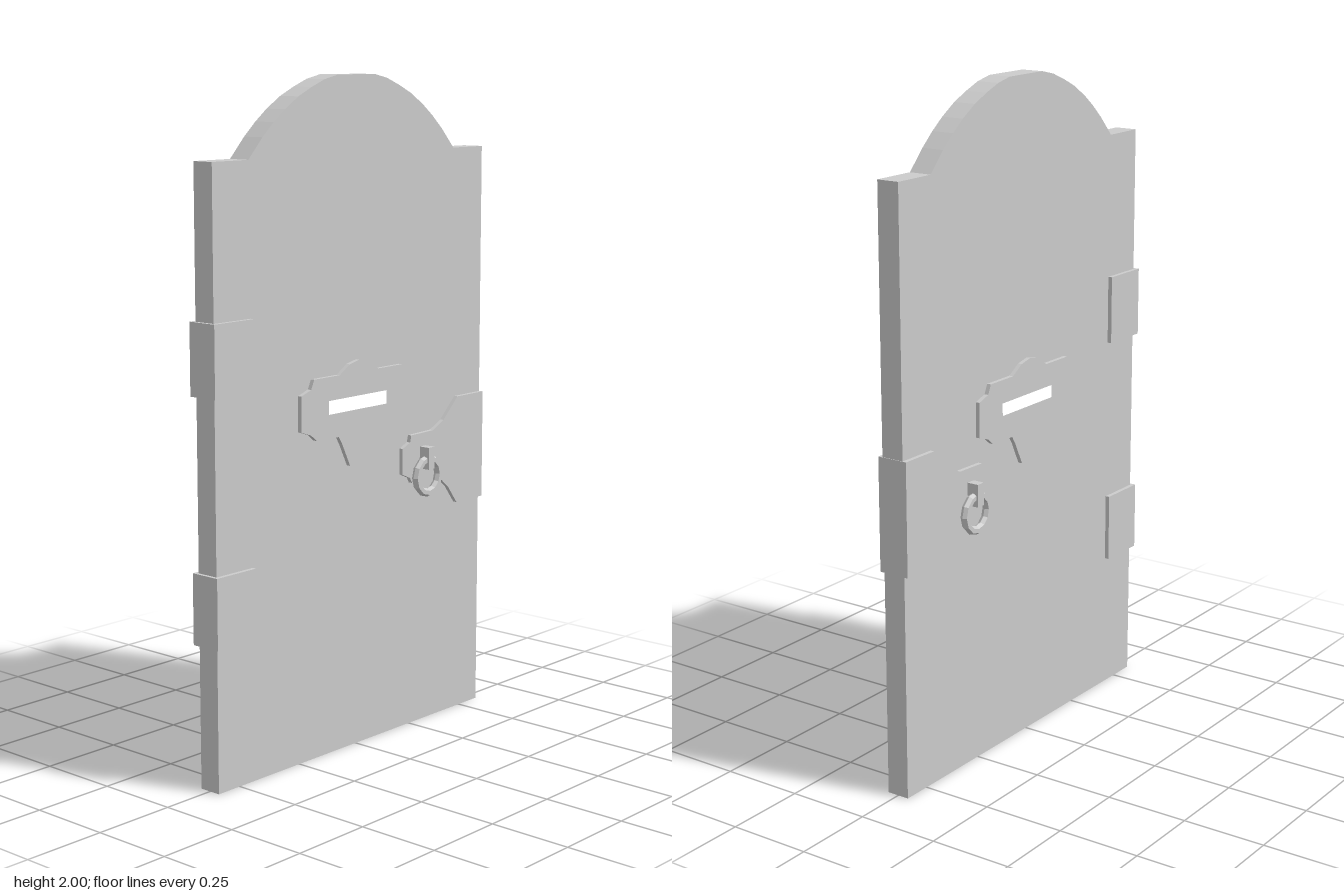
import * as THREE from 'three';

const material = new THREE.MeshStandardMaterial({ color: 0xcccccc, flatShading: true });

function mesh(name, geometry, x = 0, y = 0, z = 0) {
  const m = new THREE.Mesh(geometry, material);
  m.name = name;
  m.position.set(x, y, z);
  return m;
}

// Flat outline extruded symmetrically about z = 0
function slab(name, points, depth, hole) {
  const shape = new THREE.Shape(points.map(([x, y]) => new THREE.Vector2(x, y)));
  if (hole) shape.holes.push(new THREE.Path(hole.map(([x, y]) => new THREE.Vector2(x, y))));
  const geometry = new THREE.ExtrudeGeometry(shape, { depth, bevelEnabled: false });
  geometry.translate(0, 0, -depth / 2);
  return mesh(name, geometry);
}

// Closes a right-hand half outline by mirroring it across x = 0
const mirrored = half => [...half, ...half.filter(p => p[0] > 0).reverse().map(([x, y]) => [-x, y])];

export function createModel() {
  const group = new THREE.Group();
  group.name = 'door';
  const plateDepth = 0.096;
  const slot = [[-0.133, 1.026], [-0.133, 1.07], [0.137, 1.07], [0.137, 1.026]];

  // Arched door leaf with a viewing slot
  const leafHalf = [
    [0.08, 2], [0.135, 1.988], [0.19, 1.967], [0.245, 1.942], [0.3, 1.908], [0.345, 1.874],
    [0.39, 1.834], [0.446, 1.775], [0.586, 1.775], [0.586, 0],
  ];
  const leaf = slab('doorLeaf', mirrored(leafHalf), 0.07, slot);
  leaf.position.x = 0.002;
  group.add(leaf);

  // Ornamental plate around the slot, showing on both faces
  const slotPlateHalf = [
    [0, 1.176], [0.042, 1.167], [0.085, 1.14], [0.195, 1.14], [0.208, 1.112], [0.25, 1.098],
    [0.25, 0.993], [0.21, 0.98], [0.185, 0.96], [0.09, 0.958], [0.075, 0.935], [0.04, 0.865],
  ];
  group.add(slab('slotPlate', mirrored(slotPlateHalf), plateDepth, slot));

  // Lock plate wrapping the opening edge
  group.add(slab('lockPlate', [
    [0.59, 1.008], [0.463, 1.008], [0.395, 0.943], [0.345, 0.918], [0.24, 0.916], [0.235, 0.895],
    [0.2, 0.88], [0.2, 0.8], [0.235, 0.785], [0.245, 0.768], [0.375, 0.765], [0.42, 0.728],
    [0.463, 0.672], [0.59, 0.672],
  ], plateDepth));

  // Hinges wrapping the opposite edge
  for (const [name, y] of [['upperHinge', 1.235], ['lowerHinge', 0.527]])
    group.add(mesh(name, new THREE.BoxGeometry(0.155, 0.208, plateDepth), -0.517, y));

  // Ring pull and its bracket on each face
  for (const [side, s] of [['front', 1], ['back', -1]]) {
    const pull = new THREE.Group();
    pull.name = side + 'RingPull';
    pull.add(mesh('bracket', new THREE.BoxGeometry(0.028, 0.068, 0.046), 0.295, 0.842, s * 0.061));
    pull.add(mesh('ring', new THREE.TorusGeometry(0.053, 0.013, 6, 12), 0.295, 0.786, s * 0.067));
    group.add(pull);
  }
  return group;
}
